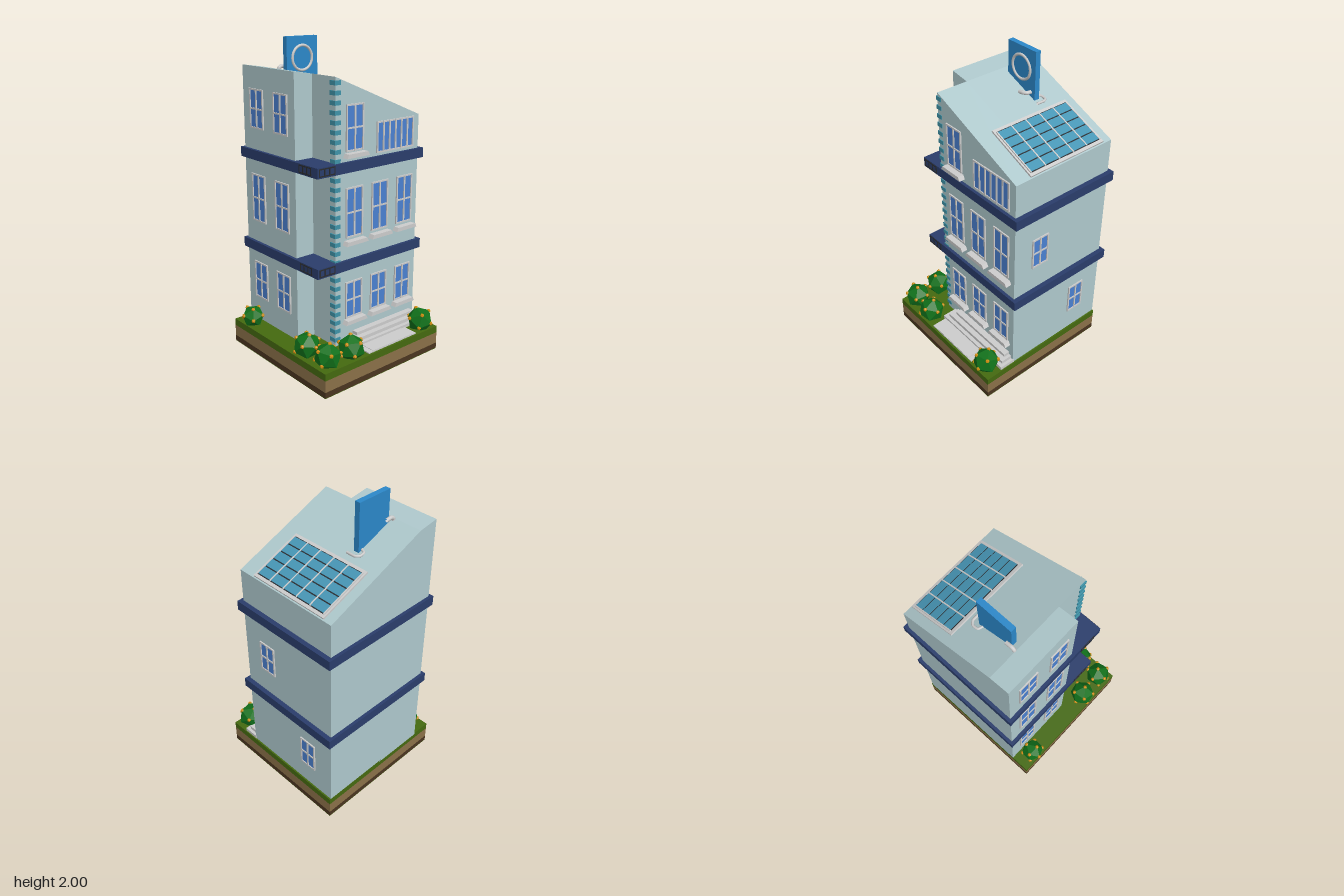
import * as THREE from 'three';

const mat = (color, flat = false) => {
  const m = new THREE.MeshStandardMaterial({ color });
  m.flatShading = flat;
  return m;
};
const M = {
  grey: mat(0xcccccc), wall: mat(0xaec8cc), navy: mat(0x2a3d6b), glass: mat(0x4a80d0),
  teal: mat(0x3f93a8), sign: mat(0x2b87c8), grass: mat(0x44690f), dirt: mat(0x8a7048),
  soil: mat(0x4a3520), rail: mat(0x2a2c30), solar: mat(0x4796b5),
  leaf: mat(0x10701a, true), berry: mat(0xcc8c10, true),
};

function add(parent, name, geometry, material) {
  const mesh = new THREE.Mesh(geometry, material);
  mesh.name = name;
  parent.add(mesh);
  return mesh;
}

// Box given by its minimum and maximum along each axis
function box(parent, name, material, [x0, x1], [y0, y1], [z0, z1]) {
  const mesh = add(parent, name, new THREE.BoxGeometry(x1 - x0, y1 - y0, z1 - z0), material);
  mesh.position.set((x0 + x1) / 2, (y0 + y1) / 2, (z0 + z1) / 2);
  return mesh;
}

function group(parent, name) {
  const g = new THREE.Group();
  g.name = name;
  parent.add(g);
  return g;
}

// Extrude a side outline of [z, y] points along x
function sideExtrude(points, x0, x1) {
  const shape = new THREE.Shape(points.map(([z, y]) => new THREE.Vector2(-z, y)));
  return new THREE.ExtrudeGeometry(shape, { depth: x1 - x0, bevelEnabled: false })
    .rotateY(Math.PI / 2).translate(x0, 0, 0);
}

// Framed window facing +z, centred on its own origin
function makeWindow(parent, w, h, cols, rows) {
  const g = group(parent, 'window');
  box(g, 'glass', M.glass, [-w / 2, w / 2], [-h / 2, h / 2], [-0.01, 0.003]);
  for (let i = 0; i <= cols; i++) {
    const x = -w / 2 + (w * i) / cols;
    box(g, 'windowBar', M.grey, [x - 0.005, x + 0.005], [-h / 2 - 0.005, h / 2 + 0.005], [-0.01, 0.009]);
  }
  for (let j = 0; j <= rows; j++) {
    const y = -h / 2 + (h * j) / rows;
    box(g, 'windowBar', M.grey, [-w / 2, w / 2], [y - 0.005, y + 0.005], [-0.01, 0.008]);
  }
  return g;
}

function makeSill(parent, y, z) {
  // Wider at the bottom than at the top
  const outline = [[z - 0.088, y - 0.025], [z - 0.075, y], [z + 0.075, y], [z + 0.088, y - 0.025]];
  add(parent, 'windowSill', sideExtrude(outline, 0.255, 0.3), M.grey);
}

function makeBush(parent, x, z, r, turn) {
  const g = group(parent, 'bush');
  const leaves = new THREE.IcosahedronGeometry(r, 0);
  add(g, 'leaves', leaves, M.leaf);
  // Berries on the upper corners
  const p = leaves.attributes.position, seen = new Set();
  for (let i = 0; i < p.count; i++) {
    const v = new THREE.Vector3().fromBufferAttribute(p, i);
    const key = v.toArray().map(n => n.toFixed(3)).join();
    if (seen.has(key) || v.y < 0) continue;
    seen.add(key);
    add(g, 'berry', new THREE.IcosahedronGeometry(0.014, 0), M.berry).position.copy(v.multiplyScalar(0.92));
  }
  g.position.set(x, 0.135 + r * 0.9, z);
  g.rotation.set(0.25, turn, 0.15);
}

function makePipe(parent, points, r) {
  const curve = new THREE.CatmullRomCurve3(points.map(p => new THREE.Vector3(...p)), false, 'catmullrom', 0.3);
  add(parent, 'roofPipe', new THREE.TubeGeometry(curve, 28, r, 8), M.grey).material = M.pipe ??=
    new THREE.MeshStandardMaterial({ color: 0xcccccc, side: THREE.DoubleSide });
}

export function createModel() {
  const model = new THREE.Group();
  model.name = 'townBuilding';

  // Layered ground block
  const ground = group(model, 'ground');
  const side = [-0.47, 0.475];
  box(ground, 'underside', M.grass, side, [0, 0.003], side);
  box(ground, 'soilLayer', M.soil, side, [0.003, 0.04], side);
  box(ground, 'dirtLayer', M.dirt, side, [0.04, 0.115], side);
  box(ground, 'grassLayer', M.grass, side, [0.115, 0.16], side);

  // Walls with sloped roof: a deep bay and a set-back corner
  const walls = group(model, 'walls');
  add(walls, 'mainBay', sideExtrude(
    [[-0.46, 0.15], [-0.46, 1.53], [0.215, 1.81], [0.345, 1.83], [0.345, 0.15]], -0.47, 0.05), M.wall);
  add(walls, 'setBackCorner', sideExtrude(
    [[-0.46, 0.15], [-0.46, 1.53], [0.215, 1.81], [0.215, 0.15]], 0.05, 0.26), M.wall);

  // Floor bands with a small railing round the balcony corner
  for (const y of [0.65, 1.255]) {
    const band = group(model, 'floorBand');
    box(band, 'bandSlab', M.navy, [-0.49, 0.28], [y, y + 0.062], [-0.49, 0.365]);
    for (const dy of [0.008, 0.05]) {
      box(band, 'railing', M.rail, [0.11, 0.225], [y + dy, y + dy + 0.007], [0.355, 0.368]);
      box(band, 'railing', M.rail, [0.27, 0.283], [y + dy, y + dy + 0.007], [0.235, 0.355]);
    }
    for (let i = 0; i < 4; i++) {
      const a = 0.11 + i * 0.036, b = 0.235 + i * 0.0375;
      box(band, 'railPost', M.rail, [a, a + 0.007], [y + 0.008, y + 0.057], [0.355, 0.368]);
      box(band, 'railPost', M.rail, [0.27, 0.283], [y + 0.008, y + 0.057], [b, b + 0.007]);
    }
  }

  // Corner stones
  const stones = group(model, 'cornerStones');
  for (let y = 0.19; y < 1.77; y += 0.0562) {
    box(stones, 'cornerStone', M.teal, [0.217, 0.264], [y, y + 0.026], [0.18, 0.222]);
  }

  // Front windows
  for (const [y0, y1] of [[0.325, 0.565], [0.855, 1.155], [1.455, 1.69]]) {
    for (const x of [-0.326, -0.083]) {
      makeWindow(model, 0.13, y1 - y0, 2, 2).position.set(x, (y0 + y1) / 2, 0.345);
    }
  }

  // Right-hand windows with sills
  const sideWindow = (z, y0, y1, w, cols, rows) => {
    const win = makeWindow(model, w, y1 - y0, cols, rows);
    win.position.set(0.26, (y0 + y1) / 2, z);
    win.rotation.y = Math.PI / 2;
  };
  for (const z of [0.072, -0.135, -0.345]) {
    sideWindow(z, 0.33, 0.56, 0.125, 2, 2);
    sideWindow(z, 0.855, 1.155, 0.125, 2, 2);
    makeSill(model, 0.32, z);
    makeSill(model, 0.835, z);
  }
  sideWindow(0.072, 1.38, 1.645, 0.125, 2, 2);
  makeSill(model, 1.368, 0.072);
  sideWindow(-0.257, 1.34, 1.52, 0.3, 6, 1);

  // Back windows
  for (const [x, y] of [[0.065, 0.985], [-0.27, 0.42]]) {
    const win = makeWindow(model, 0.115, 0.2, 2, 2);
    win.position.set(x, y, -0.46);
    win.rotation.y = Math.PI;
  }

  // Entrance steps and path
  const steps = group(model, 'entranceSteps');
  [[0.36, 0.137, 0.183], [0.335, 0.106, 0.205], [0.3, 0.075, 0.225]].forEach(([x, z, y], i) =>
    box(steps, 'step', M.grey, [0.25, x], [0.15, y], [-0.463 + i * 0.02, z]));
  box(steps, 'path', M.grey, [0.35, 0.462], [0.15, 0.167], [-0.288, 0.121]);
  box(steps, 'pathCentre', M.grey, [0.35, 0.46], [0.15, 0.17], [-0.255, 0.085]);

  // Solar panel lying on the roof slope
  const panel = group(model, 'solarPanel');
  panel.position.set(-0.13, 1.602, -0.29);
  panel.rotation.x = -Math.atan(0.28 / 0.675);
  box(panel, 'panelFrame', M.grey, [-0.28, 0.28], [-0.006, 0.009], [-0.176, 0.176]);
  box(panel, 'panelBacking', M.rail, [-0.267, 0.267], [0.005, 0.011], [-0.156, 0.156]);
  for (let i = 0; i < 5; i++) {
    for (let j = 0; j < 5; j++) {
      const x = -0.212 + i * 0.106, z = -0.124 + j * 0.062;
      box(panel, 'solarCell', M.solar, [x - 0.05, x + 0.05], [0.008, 0.014], [z - 0.027, z + 0.027]);
    }
  }
  for (let i = 0; i <= 5; i++) {
    const x = -0.265 + i * 0.106;
    box(panel, 'panelBar', M.grey, [x - 0.004, x + 0.004], [0.006, 0.016], [-0.156, 0.156]);
  }

  // Roof sign with a plain ring on its right face
  const sign = group(model, 'roofSign');
  box(sign, 'signBoard', M.sign, [-0.27, -0.235], [1.69, 2], [-0.055, 0.18]);
  const ring = add(sign, 'signRing', new THREE.TorusGeometry(0.075, 0.009, 8, 32), M.grey);
  ring.position.set(-0.235, 1.87, 0.063);
  ring.rotation.y = Math.PI / 2;

  // Bent pipes round the foot of the sign
  const pipes = group(model, 'roofPipes');
  makePipe(pipes, [[-0.22, 1.7, -0.095], [-0.275, 1.7, -0.095], [-0.298, 1.7, -0.075],
    [-0.296, 1.705, -0.04], [-0.265, 1.71, -0.027]], 0.008);
  makePipe(pipes, [[-0.24, 1.74, -0.02], [-0.21, 1.74, -0.015], [-0.197, 1.74, 0.005], [-0.195, 1.735, 0.035]], 0.012);
  makePipe(pipes, [[-0.28, 1.82, 0.15], [-0.28, 1.825, 0.185], [-0.28, 1.815, 0.205], [-0.28, 1.79, 0.208]], 0.012);

  // Bushes
  [[-0.343, 0.415, 0.077], [0.21, 0.4, 0.087], [0.395, 0.39, 0.087], [0.405, 0.215, 0.087], [0.41, -0.375, 0.087]]
    .forEach(([x, z, r], i) => makeBush(model, x, z, r, i * 0.7));

  return model;
}
